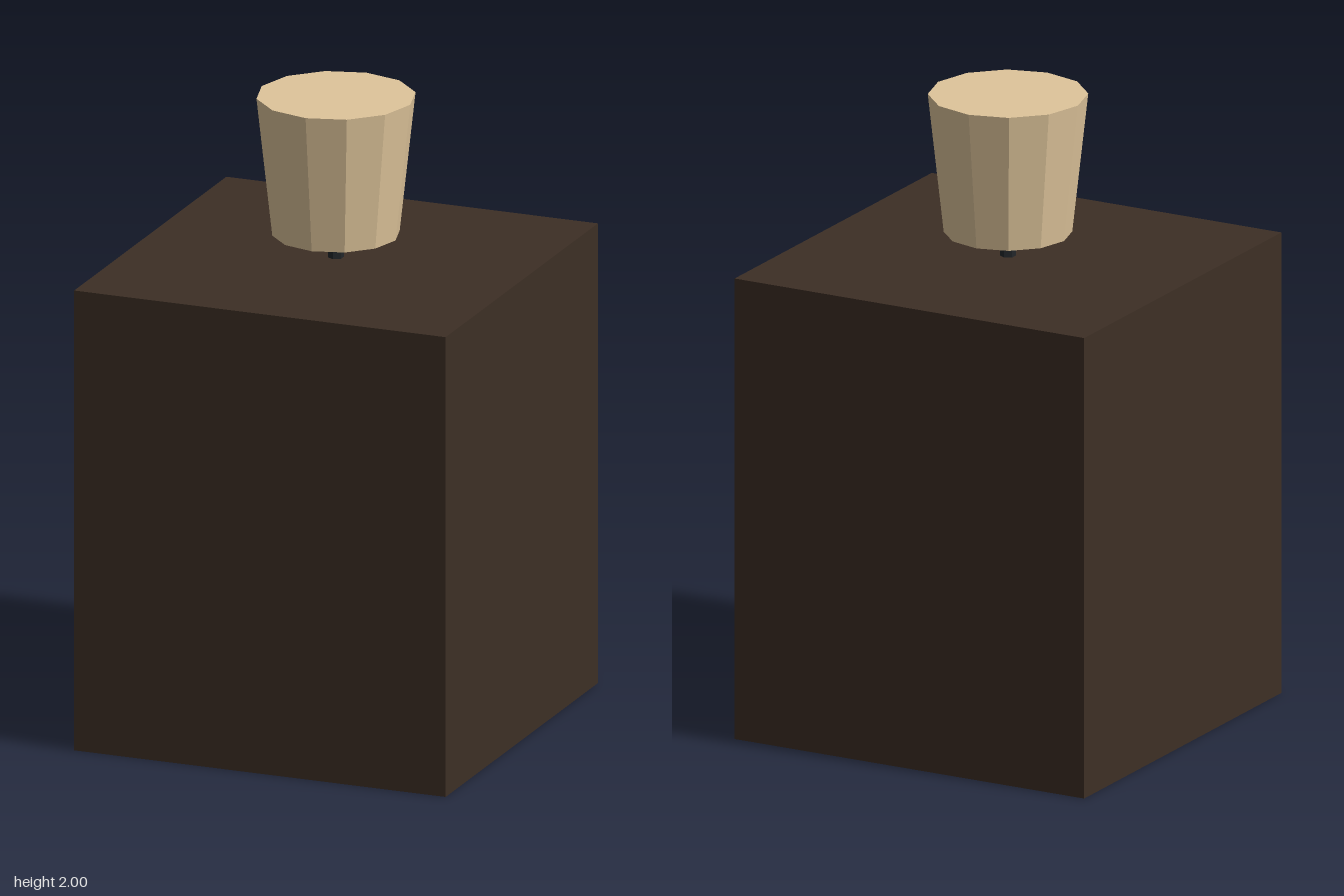
import * as THREE from 'three';

export function createModel() {
  const group = new THREE.Group();

  // Adds one flat-shaded part whose base stands at height y
  const add = (name, geometry, color, height, y) => {
    const material = new THREE.MeshStandardMaterial({ color, flatShading: true });
    const mesh = new THREE.Mesh(geometry, material);
    mesh.name = name;
    mesh.position.y = y + height / 2;
    group.add(mesh);
  };

  // Bedside cabinet
  add('cabinet', new THREE.BoxGeometry(1.23, 1.48, 1.23), 0x3d2f25, 1.48, 0);

  // Six-sided lamp stem, running up into the shade
  add('lampStem', new THREE.CylinderGeometry(0.025, 0.025, 0.3, 6), 0x22262a, 0.3, 1.48);

  // Twelve-sided shade, wider at the top
  add('lampShade', new THREE.CylinderGeometry(0.246, 0.197, 0.443, 12), 0xdfc59b, 0.443, 1.557);

  return group;
}
